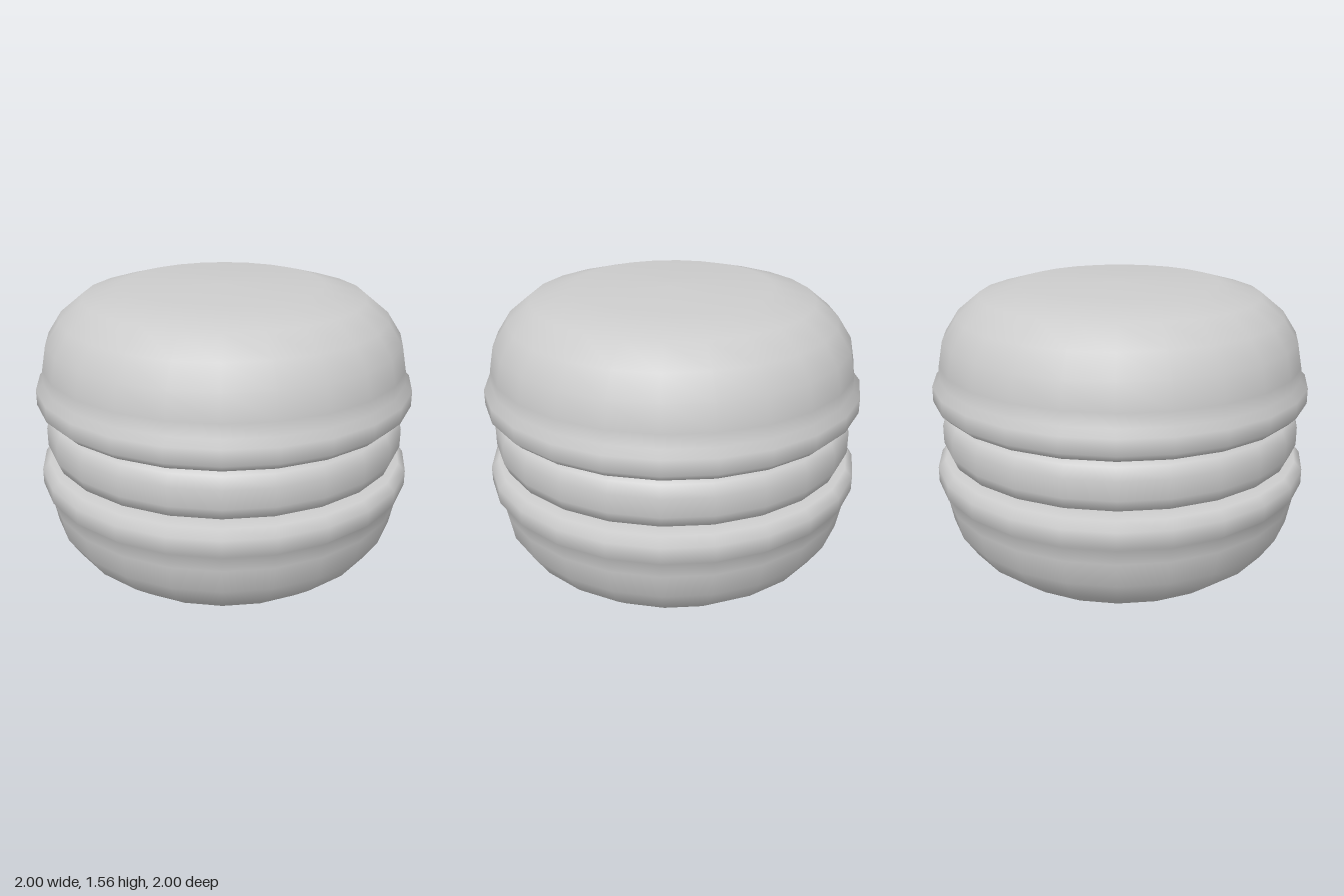
import * as THREE from 'three';

const SIDES = 24;
const MID = 0.782; // height of the mirror plane through the filling

// Half profiles as [radius, height above the mirror plane], going upwards
const shellProfile = [
  [0, 0.142], [0.86, 0.142], [0.96, 0.145], [1, 0.185], [1, 0.265], [0.962, 0.298],
  [0.96, 0.37], [0.935, 0.5], [0.86, 0.615], [0.74, 0.712], [0.52, 0.772], [0, 0.782],
];
const fillingProfile = [[0.96, 0.048], [0.935, 0.108], [0.87, 0.14], [0, 0.142]];

const mirrored = (profile) => profile.map(([r, y]) => [r, -y]).reverse();

export function createModel() {
  const group = new THREE.Group();
  const material = new THREE.MeshStandardMaterial({ color: 0xcccccc });

  const addLathe = (name, profile) => {
    const points = profile.map(([r, y]) => new THREE.Vector2(r, y + MID));
    const mesh = new THREE.Mesh(new THREE.LatheGeometry(points, SIDES), material);
    mesh.name = name;
    group.add(mesh);
  };

  // Domed shells, each with a protruding foot at its rim
  addLathe('topShell', shellProfile);
  addLathe('bottomShell', mirrored(shellProfile));

  // Rounded layer of cream between the shells
  addLathe('filling', [...mirrored(fillingProfile), ...fillingProfile]);

  return group;
}
